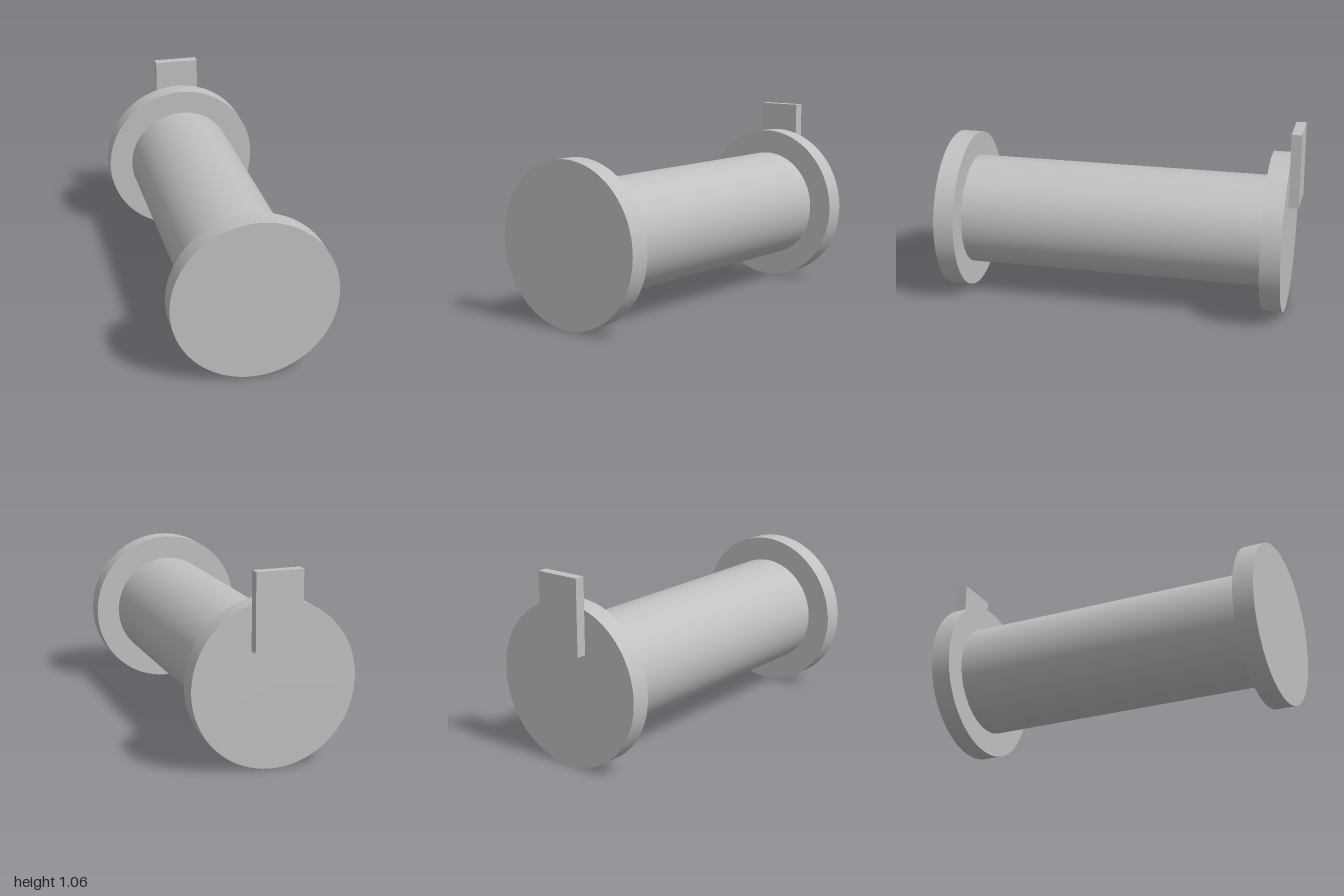
import * as THREE from 'three';

export function createModel() {
  const model = new THREE.Group();
  model.name = 'spool';
  const grey = new THREE.MeshStandardMaterial({ color: 0xc0c0c0 });
  grey.name = 'plain grey';
  const axisY = 0.45;

  // Round part lying along z, from z0 to z1
  function addRound(name, radius, z0, z1) {
    const geometry = new THREE.CylinderGeometry(radius, radius, z1 - z0, 96);
    geometry.rotateX(Math.PI / 2);
    const mesh = new THREE.Mesh(geometry, grey);
    mesh.name = name;
    mesh.position.set(0, axisY, (z0 + z1) / 2);
    model.add(mesh);
  }

  // Core and its two end flanges
  addRound('core', 0.313, -0.83, 0.885);
  addRound('frontFlange', 0.45, 0.885, 1);
  addRound('backFlange', 0.45, -0.943, -0.83);

  // Upright tab fixed to the back flange
  const tab = new THREE.Mesh(new THREE.BoxGeometry(0.256, 0.417, 0.057), grey);
  tab.name = 'backTab';
  tab.position.set(0, 0.849, -0.9715);
  model.add(tab);

  return model;
}
